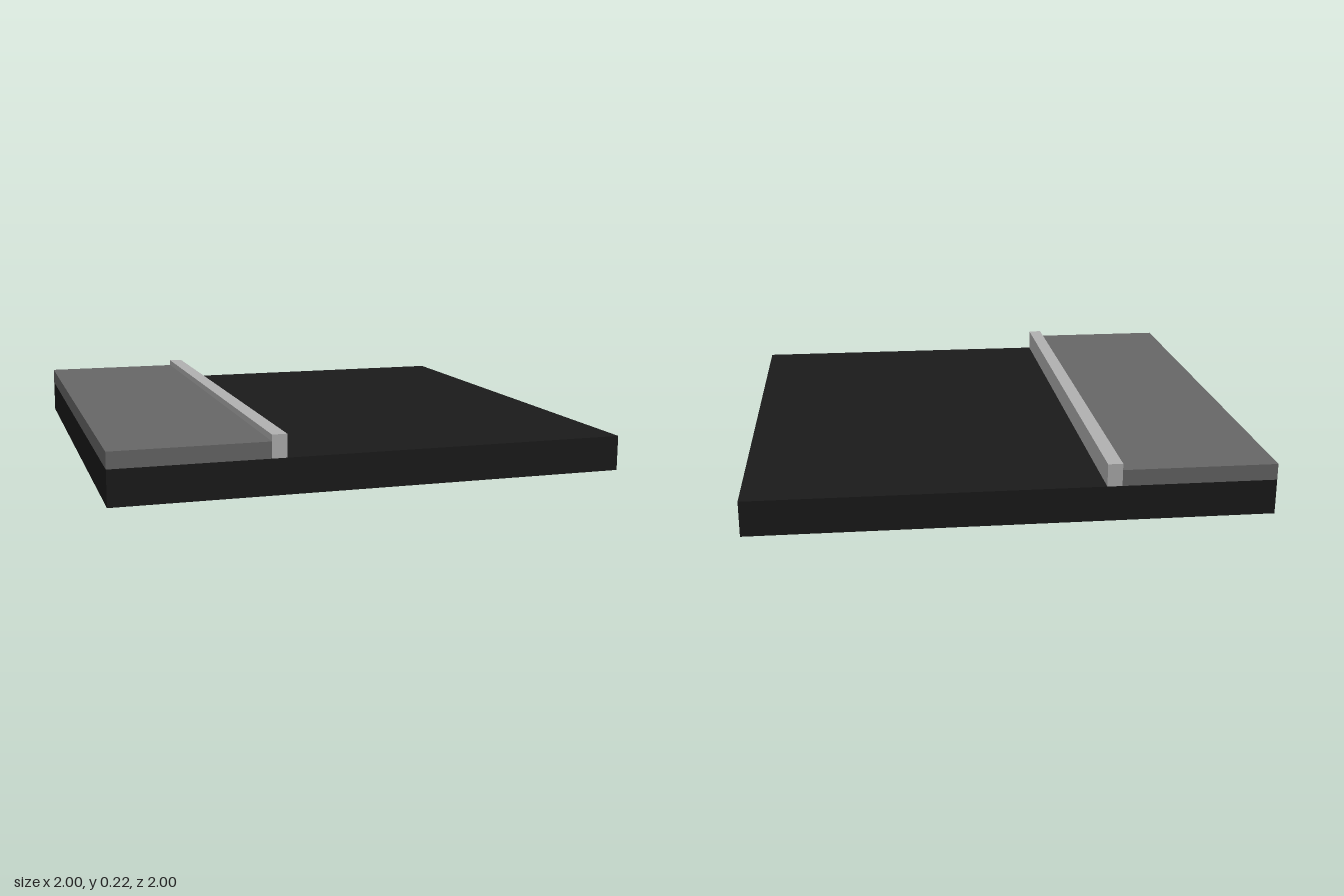
import * as THREE from 'three';

// Box spanning x0..x1 and y0..y1 over the full depth of the tile
function slab(name, color, x0, x1, y0, y1) {
  const mesh = new THREE.Mesh(
    new THREE.BoxGeometry(x1 - x0, y1 - y0, 2),
    new THREE.MeshStandardMaterial({ color })
  );
  mesh.name = name;
  mesh.position.set((x0 + x1) / 2, (y0 + y1) / 2, 0);
  return mesh;
}

export function createModel() {
  const group = new THREE.Group();
  group.name = 'roadTile';
  group.add(
    slab('roadBase', 0x1a1a1a, -1, 1, 0, 0.137), // asphalt
    slab('sidewalk', 0x666666, -1, -0.407, 0.137, 0.2), // raised pavement
    slab('curb', 0xb0b0b0, -0.407, -0.35, 0.137, 0.225) // kerb standing proud of the pavement
  );
  return group;
}
